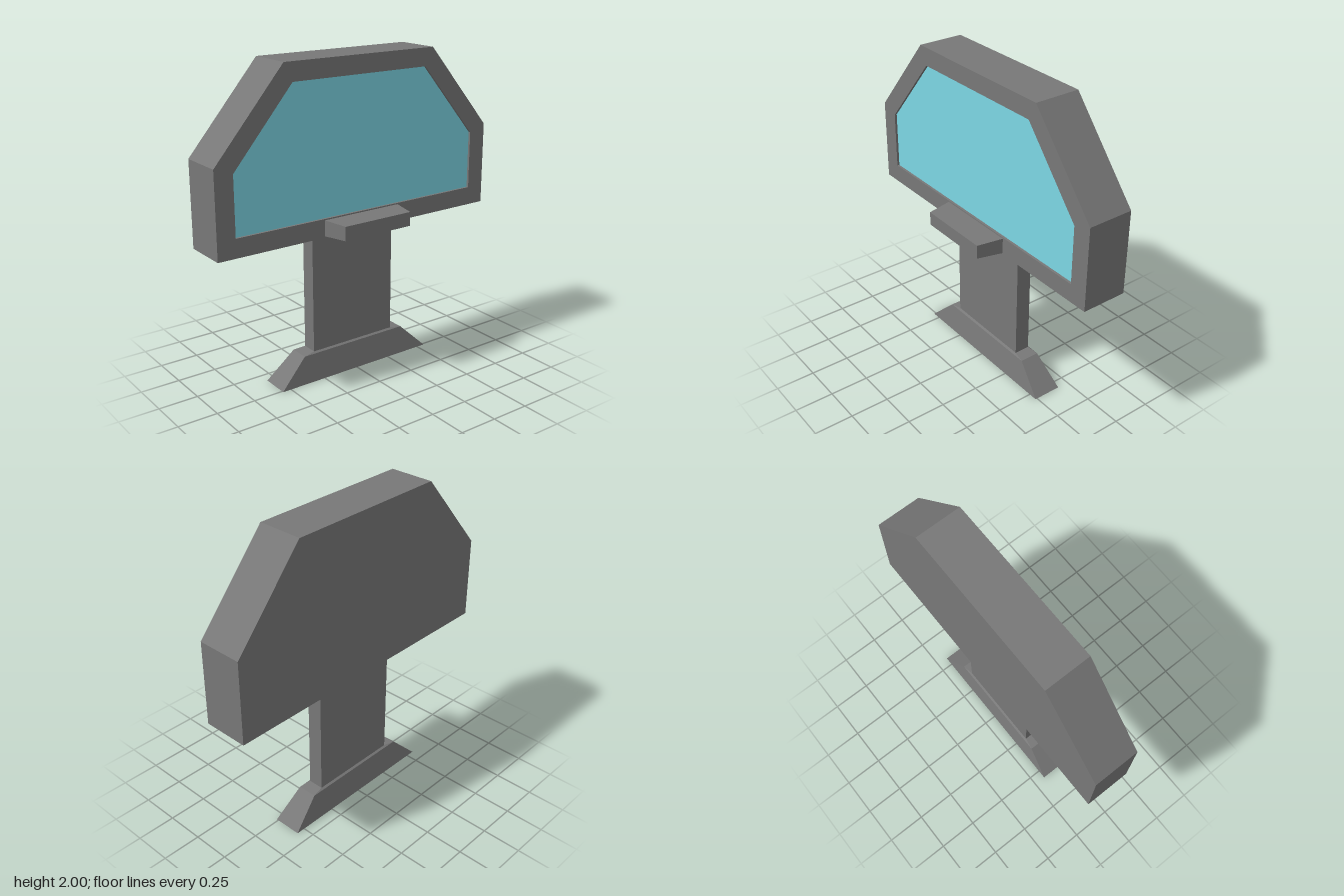
import * as THREE from 'three';

const grey = new THREE.MeshStandardMaterial({ color: 0x787878, flatShading: true });
const cyan = new THREE.MeshStandardMaterial({ color: 0x7dd7e5, flatShading: true });

// Skins a list of sections [w, [[u, v], ...]], corners counter-clockwise about +w.
// toXYZ places (u, v, w) in space; caps closes the start and end.
function loft(name, sections, toXYZ, material, caps) {
  const rings = sections.map(([w, pts]) => pts.map(([u, v]) => toXYZ(u, v, w)));
  const n = rings[0].length;
  const pos = [];
  const tri = (a, b, c) => pos.push(...a, ...b, ...c);
  for (let k = 0; k + 1 < rings.length; k++) {
    const a = rings[k], b = rings[k + 1];
    for (let i = 0; i < n; i++) {
      const j = (i + 1) % n;
      tri(a[i], a[j], b[j]);
      tri(a[i], b[j], b[i]);
    }
  }
  const first = rings[0], last = rings[rings.length - 1];
  for (let i = 1; i + 1 < n; i++) {
    if (caps.start) tri(first[0], first[i + 1], first[i]);
    if (caps.end) tri(last[0], last[i], last[i + 1]);
  }
  const geometry = new THREE.BufferGeometry();
  geometry.setAttribute('position', new THREE.Float32BufferAttribute(pos, 3));
  geometry.computeVertexNormals();
  const mesh = new THREE.Mesh(geometry, material);
  mesh.name = name;
  return mesh;
}

const alongX = (y, z, x) => [x, y, z];
const alongY = (z, x, y) => [x, y, z];
const rect = (u0, u1, v0, v1) => [[u0, v0], [u1, v0], [u1, v1], [u0, v1]];

// Six-sided outline with clipped upper corners, as (y, z)
const outline = (bottom, shoulder, top, wide, narrow) => [
  [bottom, -wide], [shoulder, -wide], [top, -narrow],
  [top, narrow], [shoulder, wide], [bottom, wide],
];

export function createModel() {
  const model = new THREE.Group();
  model.name = 'displayConsole';

  // Housing: back, sides, front rim and the step down to the screen
  const outer = outline(0.947, 1.473, 2, 0.982, 0.53);
  const inner = outline(1.063, 1.43, 1.887, 0.865, 0.475);
  model.add(loft('housing', [[-0.226, outer], [0.063, outer], [0.063, inner], [0.048, inner]],
    alongX, grey, { start: true, end: false }));

  // Recessed screen
  model.add(loft('screen', [[0.048, inner]], alongX, cyan, { start: false, end: true }));

  // Tapered shelf under the screen
  model.add(loft('shelf', [
    [0.063, rect(0.956, 1.055, -0.272, 0.272)],
    [0.226, rect(0.964, 1.052, -0.24, 0.24)],
  ], alongX, grey, { start: false, end: true }));

  // Pedestal: flared foot, sloped shoulder and column
  model.add(loft('pedestal', [
    [0, rect(-0.557, 0.557, -0.173, 0.012)],
    [0.172, rect(-0.377, 0.377, -0.144, -0.018)],
    [0.181, rect(-0.3, 0.3, -0.131, -0.031)],
    [0.947, rect(-0.3, 0.3, -0.131, -0.031)],
  ], alongY, grey, { start: true, end: false }));

  return model;
}
